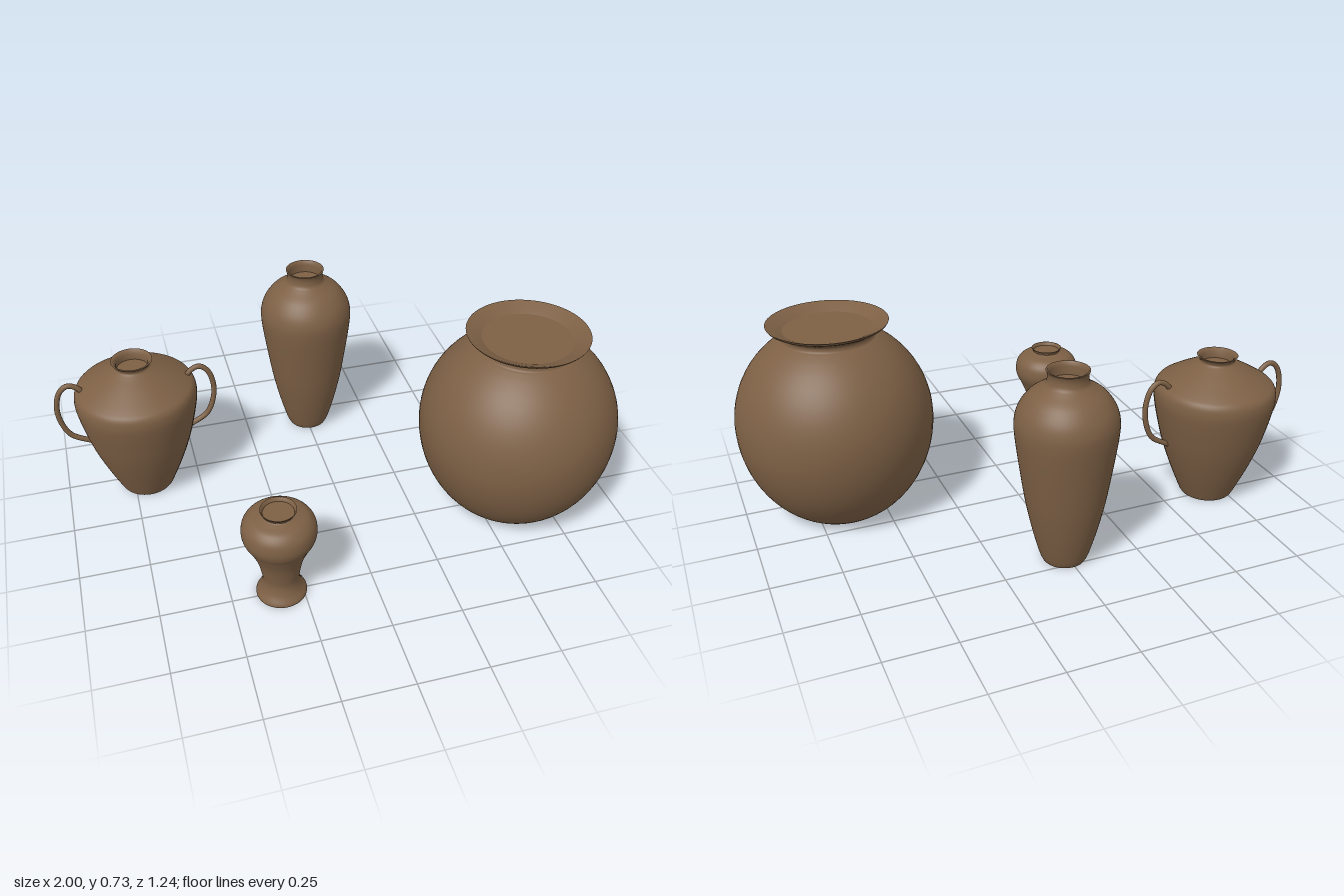
import * as THREE from 'three';

const clay = new THREE.MeshStandardMaterial({ color: 0x7d6045, side: THREE.DoubleSide });
clay.name = 'brown clay';

const v2 = (pts) => pts.map(([r, y]) => new THREE.Vector2(r, y));

function turned(name, points) {
  const mesh = new THREE.Mesh(new THREE.LatheGeometry(points, 64), clay);
  mesh.name = name;
  return mesh;
}

// A turned pot: smooth outer wall, flat foot, inner lip and a closed mouth
function makePot(name, x, z, wall, lip) {
  const pot = new THREE.Group();
  pot.name = name;
  pot.position.set(x, 0, z);
  const curve = new THREE.SplineCurve(v2(wall));
  pot.add(turned('outerWall', curve.getPoints(wall.length * 5)));
  pot.add(turned('foot', v2([[0, 0], wall[0]])));
  const top = wall[wall.length - 1];
  pot.add(turned('innerLip', v2([top, ...lip])));
  const [r, y] = lip[lip.length - 1];
  pot.add(turned('mouthFloor', v2([[r, y], [0, y]])));
  return pot;
}

// Big round pot: two half ellipses meeting at the belly, then a flared rim
function roundWall() {
  const wall = [];
  for (let i = 0; i <= 16; i++) {
    const y = 0.68 * (0.5 - 0.5 * Math.cos((i / 16) * Math.PI));
    const t = (y - 0.355) / (y < 0.355 ? 0.408 : 0.368);
    wall.push([0.36 * Math.sqrt(1 - t * t), y]);
  }
  return wall.concat([[0.165, 0.69], [0.168, 0.7], [0.185, 0.712], [0.21, 0.724], [0.217, 0.733]]);
}

export function createModel() {
  const model = new THREE.Group();
  model.name = 'potterySet';

  model.add(makePot('roundPot', 0.64, 0.222, roundWall(), [[0.212, 0.733], [0.175, 0.716], [0.16, 0.708]]));

  model.add(makePot('tallJar', 0.008, -0.443, [
    [0.075, 0], [0.088, 0.03], [0.113, 0.12], [0.137, 0.23], [0.156, 0.35], [0.17, 0.45],
    [0.176, 0.51], [0.174, 0.55], [0.16, 0.59], [0.13, 0.63], [0.09, 0.658], [0.073, 0.672],
    [0.068, 0.69], [0.069, 0.705], [0.073, 0.716],
  ], [[0.066, 0.716], [0.062, 0.7], [0.062, 0.67]]));

  const amphora = makePot('twoHandledJar', -0.698, -0.224, [
    [0.097, 0], [0.108, 0.02], [0.15, 0.12], [0.185, 0.22], [0.208, 0.31], [0.222, 0.38],
    [0.225, 0.42], [0.218, 0.45], [0.195, 0.47], [0.13, 0.508], [0.08, 0.534], [0.064, 0.545],
    [0.066, 0.556], [0.075, 0.567],
  ], [[0.068, 0.567], [0.058, 0.555], [0.058, 0.53]]);
  model.add(amphora);

  // Mirrored ear-shaped handles
  for (const side of [1, -1]) {
    const path = new THREE.CatmullRomCurve3([
      [0.185, 0.455], [0.212, 0.485], [0.24, 0.495], [0.27, 0.472], [0.289, 0.41],
      [0.284, 0.34], [0.255, 0.275], [0.185, 0.232],
    ].map(([x, y]) => new THREE.Vector3(side * x, y, 0)));
    const handle = new THREE.Mesh(new THREE.TubeGeometry(path, 48, 0.01, 12), clay);
    handle.name = side > 0 ? 'leftHandle' : 'rightHandle';
    amphora.add(handle);
  }

  model.add(makePot('smallVase', -0.323, 0.49, [
    [0.088, 0], [0.087, 0.01], [0.072, 0.035], [0.064, 0.065], [0.067, 0.1], [0.08, 0.16],
    [0.104, 0.22], [0.122, 0.255], [0.128, 0.285], [0.122, 0.32], [0.1, 0.346], [0.07, 0.357],
    [0.056, 0.362], [0.056, 0.368], [0.062, 0.377],
  ], [[0.058, 0.377], [0.053, 0.364]]));

  return model;
}
